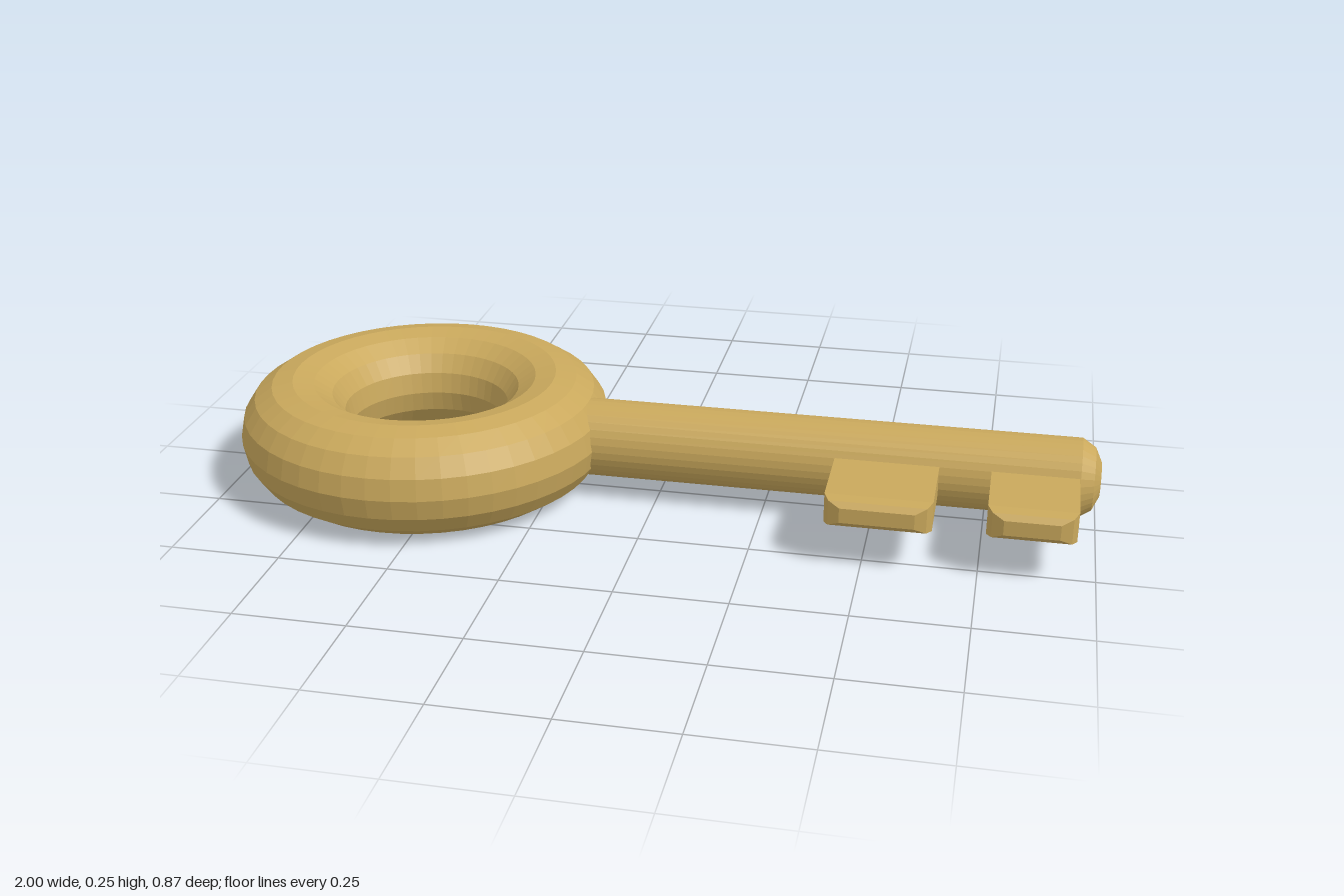
import * as THREE from 'three';

const brass = new THREE.MeshStandardMaterial({ color: 0xc9a85c, flatShading: true });
const AXIS_Y = 0.128;

function part(name, geometry) {
  const mesh = new THREE.Mesh(geometry, brass);
  mesh.name = name;
  return mesh;
}

// Flat tooth whose free end is bevelled in two steps
function tooth(name, x0, x1, zEnd) {
  const w = x1 - x0, h = 0.068;
  const geo = new THREE.BoxGeometry(w, h, 3, 1, 1, 3);
  // one row per cross-section: [z, inset in x, inset in y]
  const rows = [[0, 0, 0], [zEnd - 0.035, 0, 0], [zEnd - 0.011, 0.011, 0.005], [zEnd, 0.036, 0.017]];
  const p = geo.attributes.position;
  for (let i = 0; i < p.count; i++) {
    const [z, dx, dy] = rows[Math.round(p.getZ(i) + 1.5)];
    p.setXYZ(i, Math.sign(p.getX(i)) * (w / 2 - dx), Math.sign(p.getY(i)) * (h / 2 - dy), z);
  }
  geo.computeVertexNormals();
  const mesh = part(name, geo);
  mesh.position.set((x0 + x1) / 2, AXIS_Y + 0.001, 0);
  return mesh;
}

export function createModel() {
  const key = new THREE.Group();
  key.name = 'key';

  // Ring handle lying flat
  const ring = part('ringHandle', new THREE.TorusGeometry(0.308, 0.1265, 16, 48).rotateX(Math.PI / 2));
  ring.position.set(-0.566, AXIS_Y, 0);
  key.add(ring);

  // Round shaft with a bevelled tip, its root buried in the ring
  const profile = [[0, -0.26], [0.09, -0.26], [0.09, 0.955], [0.071, 0.985], [0.039, 1], [0, 1]]
    .map(([r, x]) => new THREE.Vector2(r, x));
  const shaft = part('shaft', new THREE.LatheGeometry(profile, 32).rotateZ(-Math.PI / 2));
  shaft.position.y = AXIS_Y;
  key.add(shaft);

  // Two teeth on the front side
  key.add(tooth('innerTooth', 0.415, 0.648, 0.3));
  key.add(tooth('outerTooth', 0.762, 0.953, 0.288));

  return key;
}
